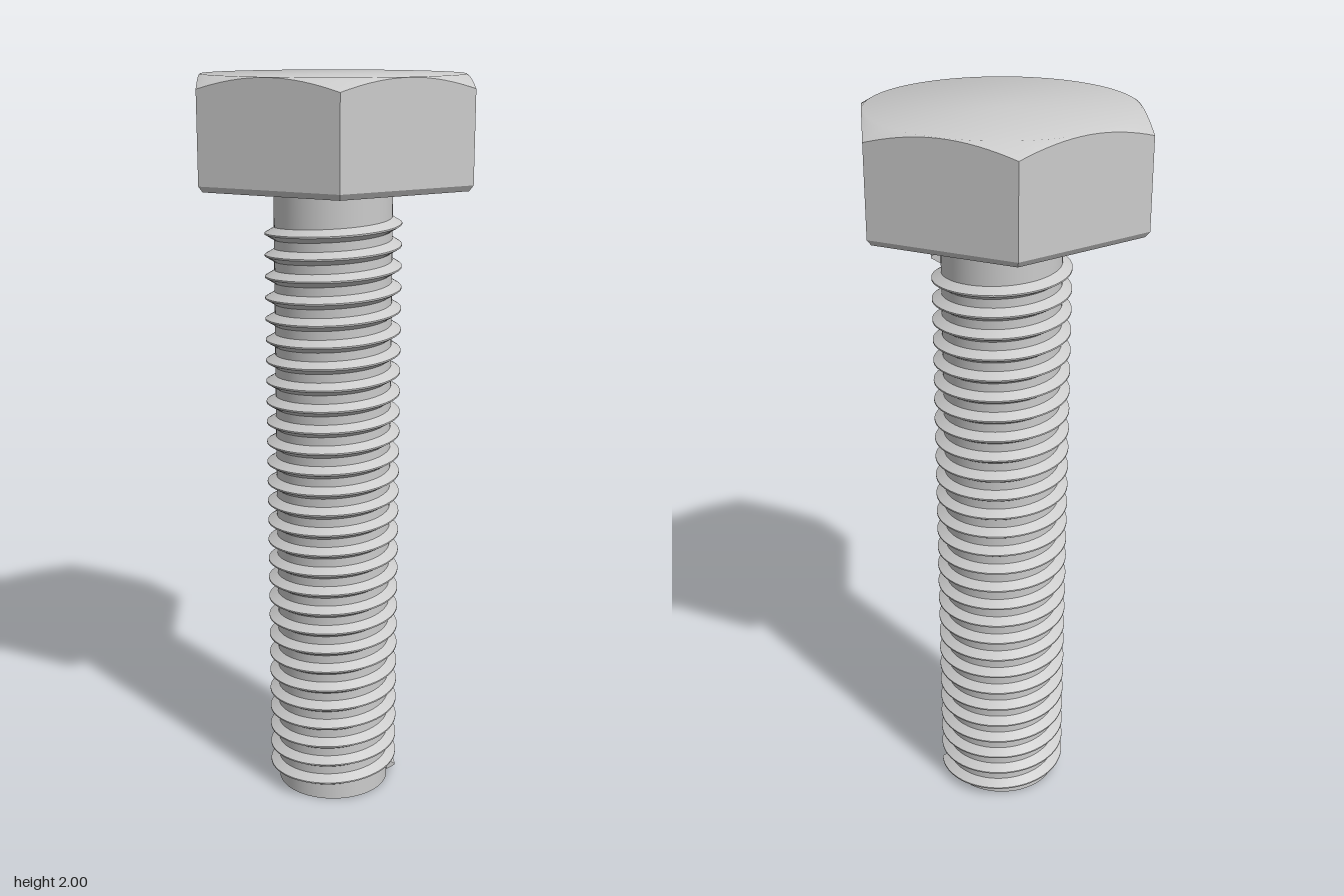
import * as THREE from 'three';
import { toCreasedNormals } from 'three/addons/utils/BufferGeometryUtils.js';

const material = new THREE.MeshStandardMaterial({ color: 0xcccccc });
const thinMaterial = new THREE.MeshStandardMaterial({ color: 0xcccccc, side: THREE.DoubleSide });

// Skin a stack of equally long point rows, ordered from bottom to top.
function loft(rows) {
  const n = rows[0].length;
  const index = [];
  for (let i = 0; i < rows.length - 1; i++) {
    for (let j = 0; j < n - 1; j++) {
      const a = i * n + j, b = a + 1, c = b + n, d = a + n;
      index.push(a, b, c, a, c, d);
    }
  }
  const geometry = new THREE.BufferGeometry().setFromPoints(rows.flat());
  geometry.setIndex(index);
  return toCreasedNormals(geometry, 0.55);
}

// Hexagonal head: small bevel below, conical chamfer cutting arcs into the flats.
function createHead() {
  const apothem = 0.342, steps = 16, count = 6 * steps;
  const bottom = 1.72, top = 2, slope = Math.tan(Math.PI / 6);
  const ring = (radiusAt, heightAt) => Array.from({ length: count + 1 }, (_, j) => {
    const side = Math.floor(j / steps), f = (j % steps) / steps;
    // even steps along each straight flat
    const offset = Math.atan((2 * f - 1) * Math.tan(Math.PI / 6));
    const angle = side * Math.PI / 3 + Math.PI / 6 + offset;
    const hex = apothem / Math.cos(offset);
    const r = radiusAt(hex);
    return new THREE.Vector3(r * Math.sin(angle), heightAt(hex), r * Math.cos(angle));
  });
  const head = new THREE.Mesh(loft([
    ring(() => 0, () => bottom),
    ring(hex => hex * 0.97, () => bottom),
    ring(hex => hex, () => bottom + 0.015),
    ring(hex => hex, hex => top - (hex - apothem + 0.002) * slope),
    ring(() => apothem - 0.002, () => top),
    ring(() => 0, () => top),
  ]), material);
  head.name = 'hexHead';
  head.rotation.y = 0.01;
  return head;
}

// Right-handed V thread winding up the shank.
function createThread() {
  const turns = 28, startY = 0.02, endY = 1.62, steps = turns * 64;
  const profile = [[0.152, -0.02], [0.182, -0.002], [0.182, 0.002], [0.152, 0.02]];
  const thread = new THREE.Group();
  thread.name = 'thread';

  const ridge = new THREE.Mesh(loft(profile.map(([r, dy]) =>
    Array.from({ length: steps + 1 }, (_, j) => {
      const t = j / steps, angle = t * turns * Math.PI * 2;
      const y = THREE.MathUtils.lerp(startY, endY, t) + dy;
      return new THREE.Vector3(r * Math.cos(angle), y, -r * Math.sin(angle));
    }))), material);
  ridge.name = 'threadRidge';
  thread.add(ridge);

  // flat faces closing both ends of the ridge
  const section = new THREE.ShapeGeometry(
    new THREE.Shape(profile.map(([x, y]) => new THREE.Vector2(x, y))));
  for (const y of [startY, endY]) {
    const end = new THREE.Mesh(section, thinMaterial);
    end.name = 'threadEnd';
    end.position.y = y;
    thread.add(end);
  }
  return thread;
}

export function createModel() {
  const bolt = new THREE.Group();
  bolt.name = 'hexBolt';

  // plain cylindrical core
  const shank = new THREE.Mesh(new THREE.CylinderGeometry(0.157, 0.157, 1.73, 64), material);
  shank.name = 'shank';
  shank.position.y = 0.865;

  bolt.add(shank, createThread(), createHead());
  return bolt;
}
